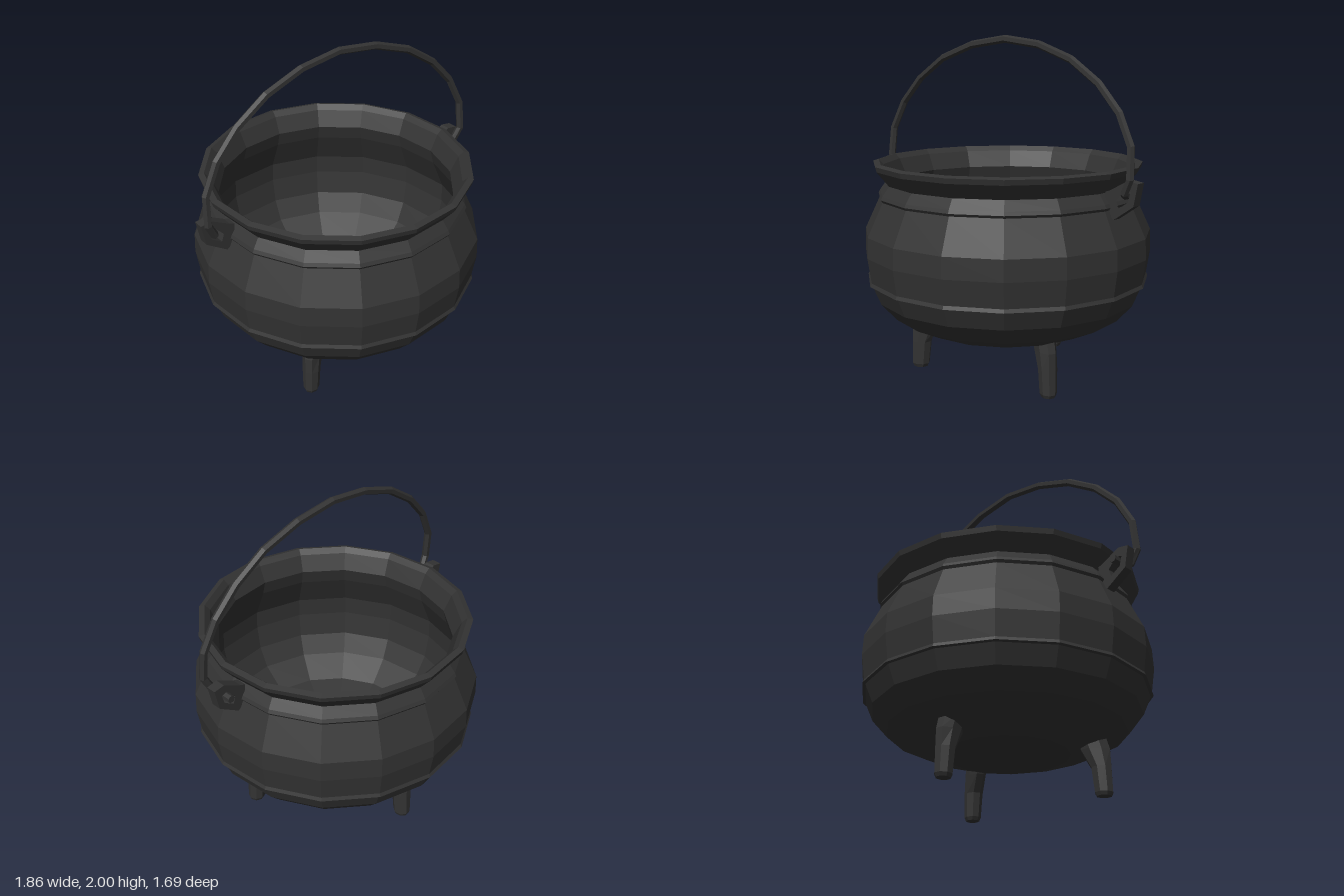
import * as THREE from 'three';

const castIron = new THREE.MeshStandardMaterial({ color: 0x333333, flatShading: true });
castIron.name = 'cast iron';

const vectors = (pairs) => pairs.map(([x, y]) => new THREE.Vector2(x, y));

function part(name, geometry) {
  const mesh = new THREE.Mesh(geometry, castIron);
  mesh.name = name;
  return mesh;
}

// Curve that visits its points exactly, so the handle keeps its straight facets
class Polyline extends THREE.Curve {
  constructor(points) {
    super();
    this.points = points;
  }
  getPoint(t, target = new THREE.Vector3()) {
    const s = THREE.MathUtils.clamp(t, 0, 1) * (this.points.length - 1);
    const i = Math.min(Math.floor(s), this.points.length - 2);
    return target.lerpVectors(this.points[i], this.points[i + 1], s - i);
  }
  getPointAt(t, target) { return this.getPoint(t, target); }
  getTangentAt(t, target) { return this.getTangent(t, target); }
}

// Hollow pot: outer wall upwards, over the rim, inner wall down
function potGeometry() {
  const profile = vectors([
    [0, 0.25], [0.36, 0.25], [0.525, 0.3], [0.685, 0.375], [0.775, 0.475],
    [0.82, 0.58], [0.837, 0.585], [0.828, 0.605], [0.85, 0.75], [0.845, 0.87],
    [0.755, 1.065], [0.765, 1.08], [0.755, 1.1], [0.715, 1.155],
    [0.785, 1.24], [0.793, 1.27], [0.76, 1.28],
    [0.73, 1.25], [0.685, 1.15], [0.71, 1.06], [0.795, 0.87], [0.8, 0.75],
    [0.775, 0.6], [0.71, 0.48], [0.56, 0.37], [0.32, 0.3], [0, 0.3],
  ]);
  return new THREE.LatheGeometry(profile, 16, THREE.MathUtils.degToRad(16.8));
}

// Octagonal leg, rings from top to foot: height, radial centre, half depth, half width
function legGeometry() {
  const rings = [
    [0.33, 0.475, 0.08, 0.055],
    [0.26, 0.495, 0.08, 0.052],
    [0.16, 0.523, 0.055, 0.049],
    [0.02, 0.532, 0.049, 0.044],
    [0, 0.532, 0.04, 0.036],
  ];
  const steps = rings.length - 1;
  const geometry = new THREE.CylinderGeometry(1, 1, 1, 8, steps, false, Math.PI / 8);
  const p = geometry.attributes.position;
  const flat = 1 / Math.cos(Math.PI / 8);
  for (let i = 0; i < p.count; i++) {
    const [y, centre, depth, width] = rings[Math.round((0.5 - p.getY(i)) * steps)];
    p.setXYZ(i, centre + p.getX(i) * depth * flat, y, p.getZ(i) * width * flat);
  }
  geometry.computeVertexNormals();
  return geometry;
}

// Angular plate with an eye for the handle
function lugGeometry(side) {
  const mirror = (pairs) => vectors(pairs.map(([x, y]) => [side * x, y]));
  const shape = new THREE.Shape(mirror([
    [0.72, 1.165], [0.75, 1.175], [0.86, 1.235], [0.925, 1.225],
    [0.9, 1.1], [0.775, 1.015], [0.73, 1.05],
  ]));
  shape.holes.push(new THREE.Path(mirror([
    [0.79, 1.125], [0.845, 1.185], [0.88, 1.175], [0.865, 1.12], [0.805, 1.08],
  ])));
  const geometry = new THREE.ExtrudeGeometry(shape, { depth: 0.06, bevelEnabled: false });
  return geometry.translate(0, 0, -0.03);
}

// Arched bail handle, with both ends hooked back through the lugs
function buildHandle() {
  const radius = 0.023;
  const half = [
    [0.848, 1.157, -0.07], [0.85, 1.157, 0.035], [0.868, 1.172, 0.07],
    [0.908, 1.25, 0.08], [0.9, 1.42, 0.065], [0.815, 1.59, 0.052],
    [0.675, 1.74, 0.043], [0.485, 1.865, 0.035], [0.252, 1.945, 0.025],
  ];
  const points = [
    ...half.map(([x, y, z]) => new THREE.Vector3(x, y, z)),
    new THREE.Vector3(0, 1.977, 0.02),
    ...half.map(([x, y, z]) => new THREE.Vector3(-x, y, z)).reverse(),
  ];
  const handle = new THREE.Group();
  handle.name = 'handle';
  handle.add(part('handleBar',
    new THREE.TubeGeometry(new Polyline(points), points.length - 1, radius, 6)));
  for (const end of [points[0], points[points.length - 1]]) {
    const cap = part('handleEnd', new THREE.CircleGeometry(radius, 6));
    cap.position.copy(end);
    cap.rotation.y = Math.PI;
    handle.add(cap);
  }
  return handle;
}

export function createModel() {
  const cauldron = new THREE.Group();
  cauldron.name = 'cauldron';
  cauldron.add(part('pot', potGeometry()), buildHandle());

  const leg = legGeometry();
  for (const [name, angle] of [['frontLeftLeg', 24], ['frontRightLeg', 144], ['backLeg', 264]]) {
    const mesh = part(name, leg);
    mesh.rotation.y = -THREE.MathUtils.degToRad(angle);
    cauldron.add(mesh);
  }

  cauldron.add(part('leftLug', lugGeometry(1)), part('rightLug', lugGeometry(-1)));
  return cauldron;
}
